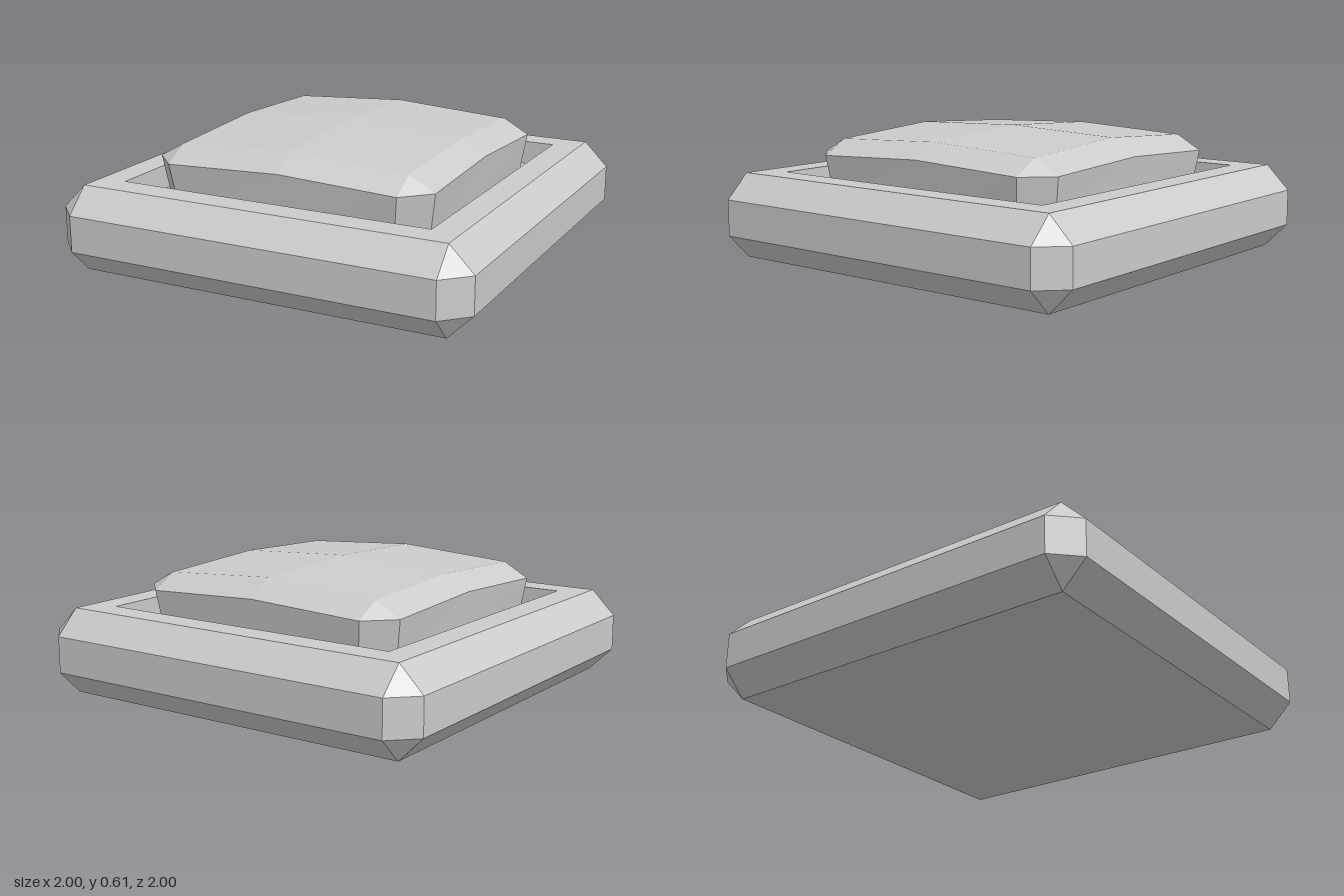
import * as THREE from 'three';

const material = new THREE.MeshStandardMaterial({ color: 0xcccccc, flatShading: true });

// Square ring with cut corners: sides at +-outer, ending at +-inner.
// yEnd is the height at the corners, yX / yZ at the middle of the x / z sides.
function ring(outer, inner, yEnd, yX = yEnd, yZ = yX) {
  const points = [];
  for (let side = 0; side < 4; side++) {
    const yMid = side % 2 ? yZ : yX;
    for (const [t, y] of [[inner, yEnd], [0, yMid], [-inner, yEnd]]) {
      let x = outer, z = t;
      for (let k = 0; k < side; k++) [x, z] = [z, -x];
      points.push(new THREE.Vector3(x, y, z));
    }
  }
  return points;
}

// Skins consecutive rings and closes both ends with fans around a centre point
function loft(name, rings, bottomY, topY) {
  const positions = [];
  const triangle = (a, b, c) => {
    if (a.equals(b) || b.equals(c) || a.equals(c)) return;
    for (const p of [a, b, c]) positions.push(p.x, p.y, p.z);
  };
  const bottom = new THREE.Vector3(0, bottomY, 0);
  const top = new THREE.Vector3(0, topY, 0);
  const first = rings[0], last = rings[rings.length - 1], n = first.length;
  for (let j = 0; j < n; j++) {
    const k = (j + 1) % n;
    triangle(bottom, first[k], first[j]);
    for (let i = 0; i + 1 < rings.length; i++) {
      const a = rings[i], b = rings[i + 1];
      triangle(a[j], a[k], b[k]);
      triangle(a[j], b[k], b[j]);
    }
    triangle(top, last[j], last[k]);
  }
  const geometry = new THREE.BufferGeometry();
  geometry.setAttribute('position', new THREE.Float32BufferAttribute(positions, 3));
  geometry.computeVertexNormals();
  const mesh = new THREE.Mesh(geometry, material);
  mesh.name = name;
  return mesh;
}

export function createModel() {
  const group = new THREE.Group();
  group.name = 'pushButton';
  const floorY = 0.285;

  // Chamfered housing with a square recess
  group.add(loft('housing', [
    ring(0.885, 0.885, 0),
    ring(1, 0.885, 0.115),
    ring(1, 0.885, 0.285),
    ring(0.885, 0.885, 0.4),
    ring(0.755, 0.755, 0.4),
    ring(0.755, 0.755, floorY),
  ], 0, floorY));

  // Domed cap, tapering slightly down into the recess
  const cap = loft('buttonCap', [
    ring(0.656, 0.541, floorY),
    ring(0.687, 0.565, 0.487, 0.512),
    ring(0.565, 0.565, 0.555, 0.58, 0.59),
  ], floorY, 0.61);
  cap.position.z = -0.004;
  group.add(cap);

  return group;
}
